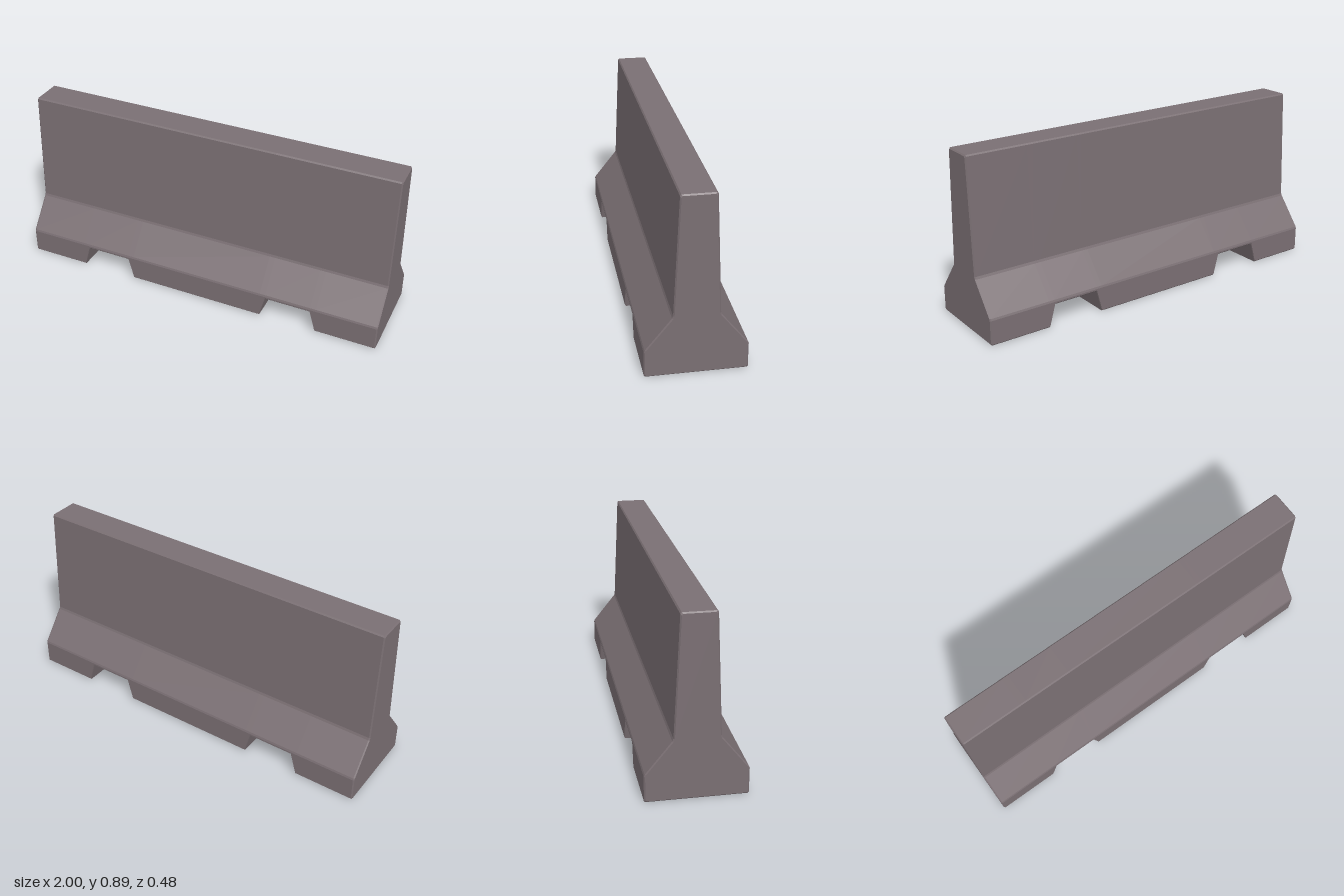
import * as THREE from 'three';

const CHAMFER = 0.006;
const NOTCH_HEIGHT = 0.115;

// Half cross-section as [z, y], from the bottom edge up; the foot height varies along x.
function crossSection(x, footY, inset) {
  const foot = footY + inset;
  const half = [
    [0.236, foot], [0.242, foot + CHAMFER],
    [0.242, 0.129], [0.238, 0.139],
    [0.114, 0.294], [0.109, 0.306],
    [0.083, 0.888 - inset], [0.077, 0.895 - inset],
  ].map(([z, y]) => [x, y, z - inset]);
  const mirrored = half.map(([px, y, z]) => [px, y, -z]).reverse();
  return [...half, ...mirrored];
}

function barrierGeometry() {
  // Stations along one half: [x, foot height, inset]; two forklift notches after mirroring
  const right = [
    [0.37, 0, 0], [0.4, NOTCH_HEIGHT, 0], [0.645, NOTCH_HEIGHT, 0],
    [0.677, 0, 0], [1 - CHAMFER, 0, 0], [1, 0, CHAMFER],
  ];
  const left = right.map(([x, y, inset]) => [-x, y, inset]).reverse();
  const rings = [...left, ...right].map((s) => crossSection(...s));
  const n = rings[0].length;
  const positions = [];
  const quad = (a, b, c, d) => positions.push(...a, ...b, ...c, ...a, ...c, ...d);

  // Long faces, notches and underside
  for (let i = 0; i < rings.length - 1; i++) {
    const r0 = rings[i], r1 = rings[i + 1];
    for (let j = 0; j < n; j++) {
      const k = (j + 1) % n;
      quad(r0[j], r1[j], r1[k], r0[k]);
    }
  }
  // End faces
  const first = rings[0], last = rings[rings.length - 1];
  for (let j = 0; j < n / 2 - 1; j++) {
    const m = n - 1 - j;
    quad(last[j], last[m], last[m - 1], last[j + 1]);
    quad(first[m], first[j], first[j + 1], first[m - 1]);
  }

  const geometry = new THREE.BufferGeometry();
  geometry.setAttribute('position', new THREE.Float32BufferAttribute(positions, 3));
  geometry.computeVertexNormals();
  return geometry;
}

export function createModel() {
  const concrete = new THREE.MeshStandardMaterial({ color: 0x7a6f73 });
  concrete.name = 'concrete';

  const body = new THREE.Mesh(barrierGeometry(), concrete);
  body.name = 'barrierBody';

  const group = new THREE.Group();
  group.name = 'concreteBarrier';
  group.add(body);
  return group;
}
